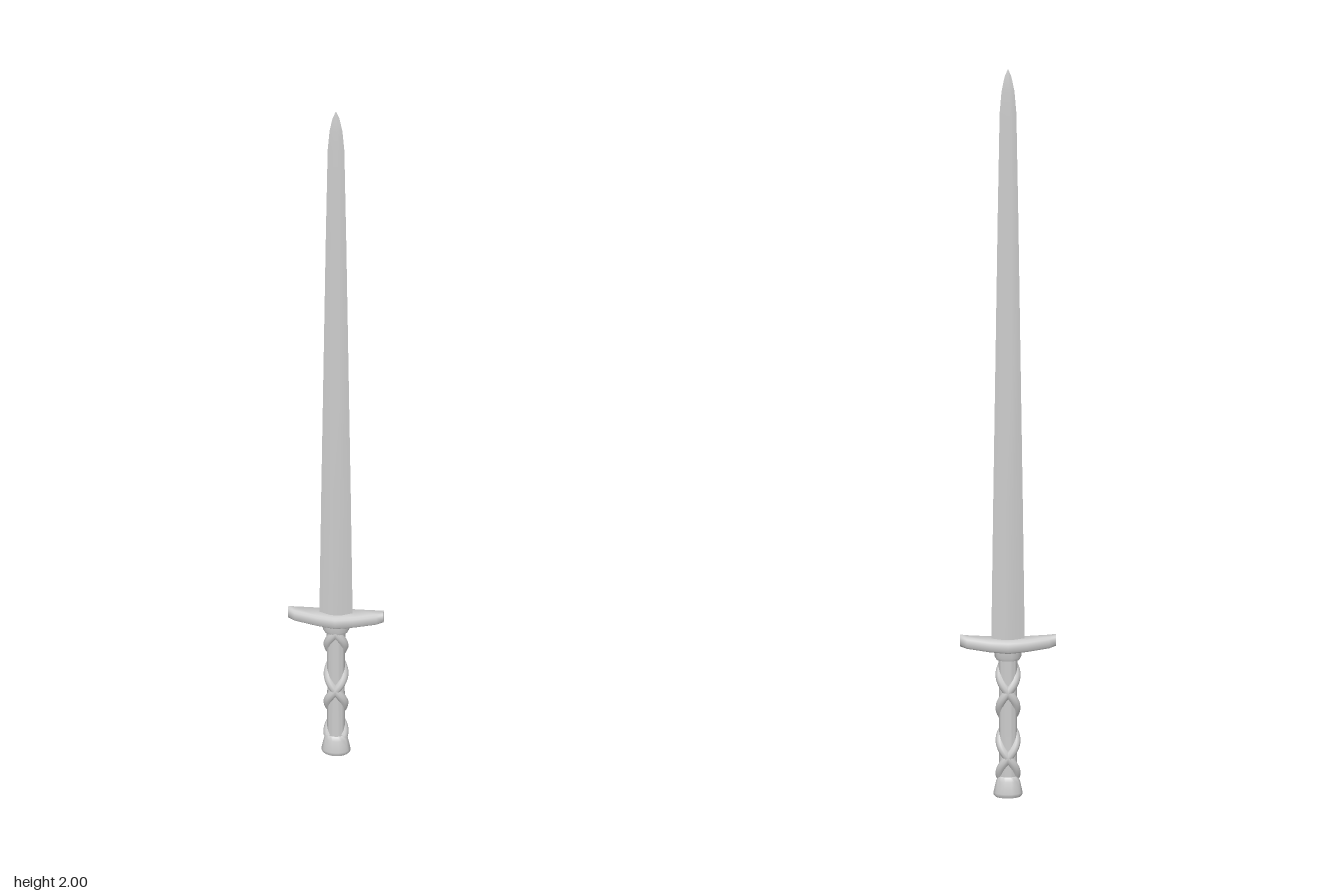
import * as THREE from 'three';
import { toCreasedNormals } from 'three/addons/utils/BufferGeometryUtils.js';

const material = new THREE.MeshStandardMaterial({ color: 0xcccccc });

// Skins a closed solid over rings of [x, y, z] points
function loft(rings) {
  const pos = [];
  const tri = (a, b, c) => pos.push(...a, ...b, ...c);
  const n = rings[0].length;
  for (let i = 0; i < rings.length - 1; i++) {
    for (let j = 0; j < n; j++) {
      const k = (j + 1) % n;
      const a = rings[i][j], b = rings[i][k], c = rings[i + 1][k], d = rings[i + 1][j];
      tri(a, b, c);
      tri(a, c, d);
    }
  }
  const first = rings[0], last = rings[rings.length - 1];
  for (let j = 1; j < n - 1; j++) {
    tri(first[0], first[j + 1], first[j]);
    tri(last[0], last[j], last[j + 1]);
  }
  const geo = new THREE.BufferGeometry();
  geo.setAttribute('position', new THREE.Float32BufferAttribute(pos, 3));
  return toCreasedNormals(geo, 0.85);
}

// Blade section: two sharp edges and a flat centre band
function bladeRing([y, w, t]) {
  const r = 0.3 * w;
  return [[r, t], [w, 0], [r, -t], [-r, -t], [-w, 0], [-r, t]].map(([x, z]) => [x, y, z]);
}

// Guard section: a box with bevelled long edges
function guardRing([x, y0, y1, d]) {
  const b = 0.005;
  return [[y0, d - b], [y0, -d + b], [y0 + b, -d], [y1 - b, -d],
    [y1, -d + b], [y1, d - b], [y1 - b, d], [y0 + b, d]].map(([y, z]) => [x, y, z]);
}

// Oval turned part
function turned(points) {
  const geo = new THREE.LatheGeometry(points.map(p => new THREE.Vector2(...p)), 24);
  return toCreasedNormals(geo.scale(1, 1, 0.75), 0.85);
}

// Cord wound round the oval grip; dir sets its handedness
class Wrap extends THREE.Curve {
  constructor(dir) {
    super();
    this.dir = dir;
  }
  getPoint(t, target = new THREE.Vector3()) {
    const y = 0.055 + 0.335 * t;
    const a = this.dir * (y - 0.2) / 0.18 * Math.PI * 2;
    return target.set(0.021 * Math.sin(a), y, 0.0135 * Math.cos(a));
  }
}

export function createModel() {
  const group = new THREE.Group();
  const add = (name, geo) => {
    const mesh = new THREE.Mesh(geo, material);
    mesh.name = name;
    group.add(mesh);
  };

  // Blade: height, half width, half thickness
  add('blade', loft([
    [0.42, 0.044, 0.013], [0.8, 0.039, 0.0115], [1.2, 0.033, 0.01], [1.6, 0.027, 0.008],
    [1.88, 0.022, 0.006], [1.94, 0.017, 0.005], [1.98, 0.009, 0.003], [2, 0.001, 0.0005],
  ].map(bladeRing)));

  // Crossguard: position, bottom, top, half depth
  const half = [[0, 0.4, 0.434, 0.032], [0.05, 0.403, 0.435, 0.0245],
    [0.108, 0.41, 0.441, 0.0155], [0.126, 0.415, 0.445, 0.0095]];
  const mirrored = half.slice(1).reverse().map(([x, ...rest]) => [-x, ...rest]);
  add('crossguard', loft([...mirrored, ...half].map(guardRing)));

  // Grip core and collar
  add('grip', turned([[0.024, 0.04], [0.023, 0.2], [0.025, 0.39]]));
  add('collar', turned([[0, 0.378], [0.031, 0.378], [0.035, 0.386], [0.036, 0.406], [0, 0.406]]));

  // Crossed wraps
  for (const dir of [1, -1]) {
    add(dir > 0 ? 'leftWrap' : 'rightWrap', new THREE.TubeGeometry(new Wrap(dir), 96, 0.012, 10));
  }

  // Flared pommel with a domed top
  add('pommel', turned([[0, 0], [0.034, 0.002], [0.038, 0.007], [0.038, 0.013], [0.035, 0.028],
    [0.031, 0.045], [0.026, 0.056], [0.018, 0.062], [0, 0.065]]));

  return group;
}
